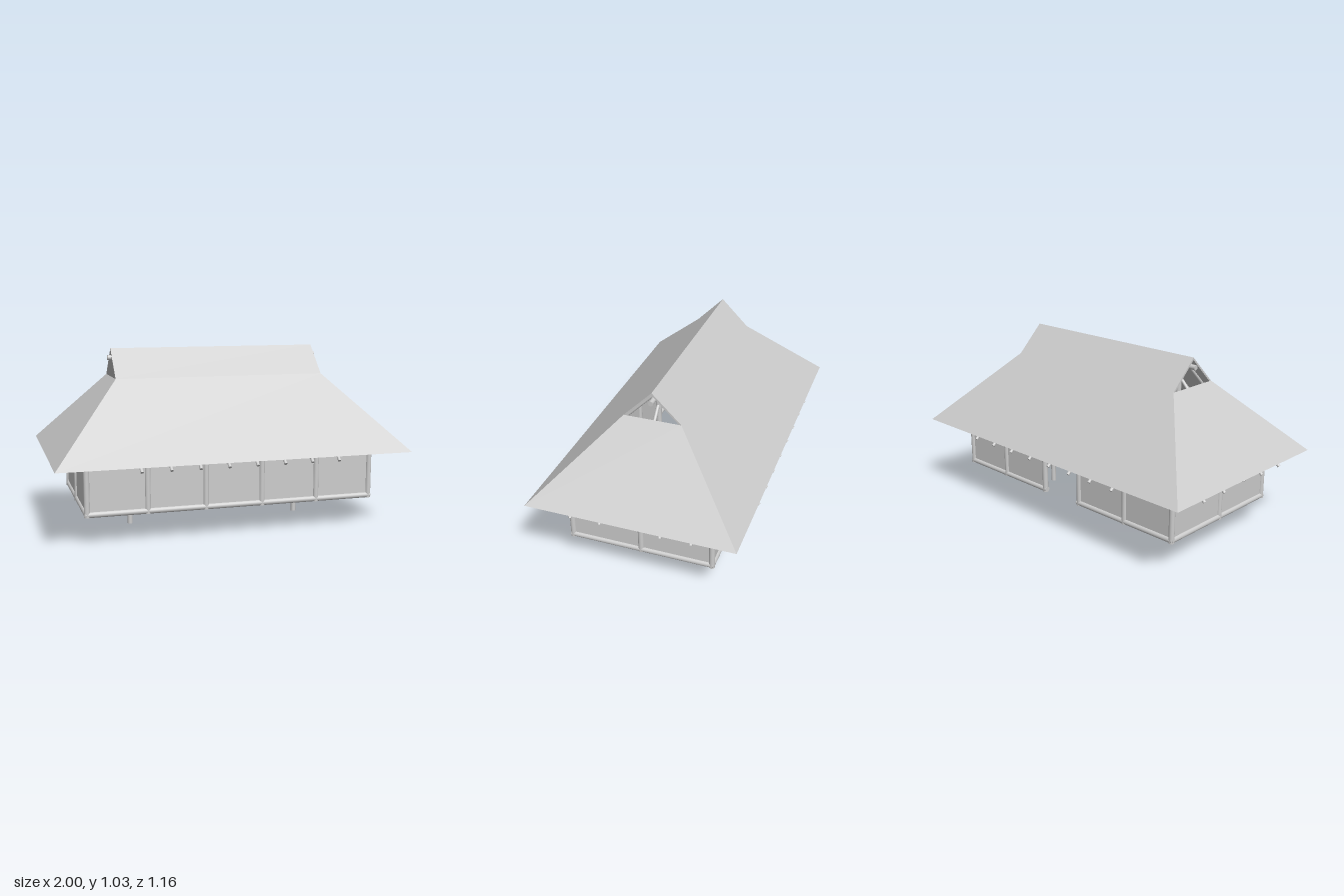
import * as THREE from 'three';

const material = new THREE.MeshStandardMaterial({ color: 0xcccccc });
const roofMaterial = new THREE.MeshStandardMaterial({ color: 0xcccccc, flatShading: true, side: THREE.DoubleSide });

// Round timber between two points
function pole(parent, name, a, b, r) {
  const start = new THREE.Vector3(...a), end = new THREE.Vector3(...b);
  const dir = end.clone().sub(start);
  const mesh = new THREE.Mesh(new THREE.CylinderGeometry(r, r, dir.length(), 16), material);
  mesh.position.copy(start).add(end).multiplyScalar(0.5);
  mesh.quaternion.setFromUnitVectors(new THREE.Vector3(0, 1, 0), dir.normalize());
  mesh.name = name;
  parent.add(mesh);
}

function panel(parent, name, size, pos) {
  const mesh = new THREE.Mesh(new THREE.BoxGeometry(...size), material);
  mesh.position.set(...pos);
  mesh.name = name;
  parent.add(mesh);
}

// Hip roof with open gablets: an outer and an inner skin joined by rims
function roofGeometry() {
  const skin = (ex, ez, gy, gz, ry) => (sx, sz) => ({
    eave: [sx * ex, 0.45, sz * ez],
    shoulder: [sx * 0.612, gy, sz * gz],
    ridge: [sx * 0.612, ry, 0],
  });
  const outer = skin(1, 0.58, 0.87, 0.16, 1.03);
  const inner = skin(0.986, 0.566, 0.855, 0.161, 1.016);
  const pos = [];
  const quad = (a, b, c, d) => pos.push(...a, ...b, ...c, ...a, ...c, ...d);
  for (const s of [1, -1]) {
    for (const [layer, flip] of [[outer, false], [inner, true]]) {
      const face = (...p) => quad(...(flip ? p.reverse() : p));
      // long slope
      const l = layer(-s, s), r = layer(s, s), back = layer(s, -s);
      face(l.eave, r.eave, r.shoulder, l.shoulder);
      face(l.shoulder, r.shoulder, r.ridge, l.ridge);
      // end slope
      face(r.eave, back.eave, back.shoulder, r.shoulder);
    }
    const rim = (key1, c1, key2, c2) =>
      quad(inner(...c1)[key1], inner(...c2)[key2], outer(...c2)[key2], outer(...c1)[key1]);
    rim('eave', [-s, s], 'eave', [s, s]);
    rim('eave', [s, s], 'eave', [s, -s]);
    rim('shoulder', [s, s], 'shoulder', [s, -s]);
    rim('shoulder', [s, s], 'ridge', [s, s]);
    rim('ridge', [s, -s], 'shoulder', [s, -s]);
  }
  const g = new THREE.BufferGeometry();
  g.setAttribute('position', new THREE.Float32BufferAttribute(pos, 3));
  g.computeVertexNormals();
  return g;
}

export function createModel() {
  const model = new THREE.Group();
  model.name = 'house';
  const addGroup = (name) => {
    const g = new THREE.Group();
    g.name = name;
    model.add(g);
    return g;
  };
  const X = 0.82, Z = 0.4, SILL = 0.174, PLATE = 0.575, R = 0.016, DOOR = 0.143;

  const roof = new THREE.Mesh(roofGeometry(), roofMaterial);
  roof.name = 'roof';
  model.add(roof);

  // Wall frame
  const frame = addGroup('wallFrame');
  for (const x of [-X, -0.49, -0.163, 0.163, 0.49, X]) pole(frame, 'frontPost', [x, 0.16, Z], [x, PLATE, Z], R);
  for (const x of [-X, -0.49, -DOOR, DOOR, 0.49, X]) pole(frame, 'backPost', [x, 0.16, -Z], [x, PLATE, -Z], R);
  pole(frame, 'frontSill', [-X - 0.01, SILL, Z], [X + 0.01, SILL, Z], R);
  for (const s of [-1, 1]) {
    pole(frame, 'backSill', [s * (DOOR - 0.015), SILL, -Z], [s * (X + 0.01), SILL, -Z], R);
    pole(frame, 'endPost', [s * X, 0.16, 0], [s * X, 0.55, 0], R);
    pole(frame, 'endSill', [s * X, SILL, -Z - 0.01], [s * X, SILL, Z + 0.01], R);
    pole(frame, 'endPlate', [s * X, 0.55, -Z], [s * X, 0.55, Z], R);
    pole(frame, 'sidePlate', [-X, PLATE, s * Z], [X, PLATE, s * Z], R);
    pole(frame, 'tieBeam', [s * 0.5, 0.48, -Z], [s * 0.5, 0.48, Z], 0.012);
  }

  // Wall panels, with a doorway in the back
  const walls = addGroup('walls');
  const bottom = 0.18, h = PLATE - bottom, mid = bottom + h / 2;
  panel(walls, 'frontWall', [2 * X, h, 0.008], [0, mid, Z]);
  for (const s of [-1, 1]) {
    panel(walls, 'backWall', [X - DOOR, h, 0.008], [s * (X + DOOR) / 2, mid, -Z]);
    panel(walls, 'endWall', [0.008, h - 0.025, 2 * Z], [s * X, mid - 0.0125, 0]);
  }

  // Ridge beam on two tall ground posts
  pole(model, 'ridgeBeam', [-0.63, 0.977, 0], [0.63, 0.977, 0], 0.014);
  for (const s of [-1, 1]) pole(model, 'ridgePost', [s * 0.515, 0, 0], [s * 0.515, 0.977, 0], 0.015);

  // Rafters
  const rafters = addGroup('rafters');
  for (const s of [-1, 1]) {
    for (let i = 0; i < 8; i++) {
      const x = -0.555 + i * 0.1586;
      pole(rafters, 'sideRafter', [x, 0.425, s * 0.575], [x, 1.0, 0], 0.009);
    }
    for (const z of [-0.333, -0.167, 0, 0.167, 0.333]) {
      const foot = z === 0 ? 0.425 : 0.412;
      const top = z === 0 ? 0.91 : 0.985 - Math.abs(z);
      pole(rafters, 'endRafter', [s * 0.972, foot, z], [s * (0.972 - (top - foot) / 1.077), top, z], 0.009);
    }
  }
  return model;
}
